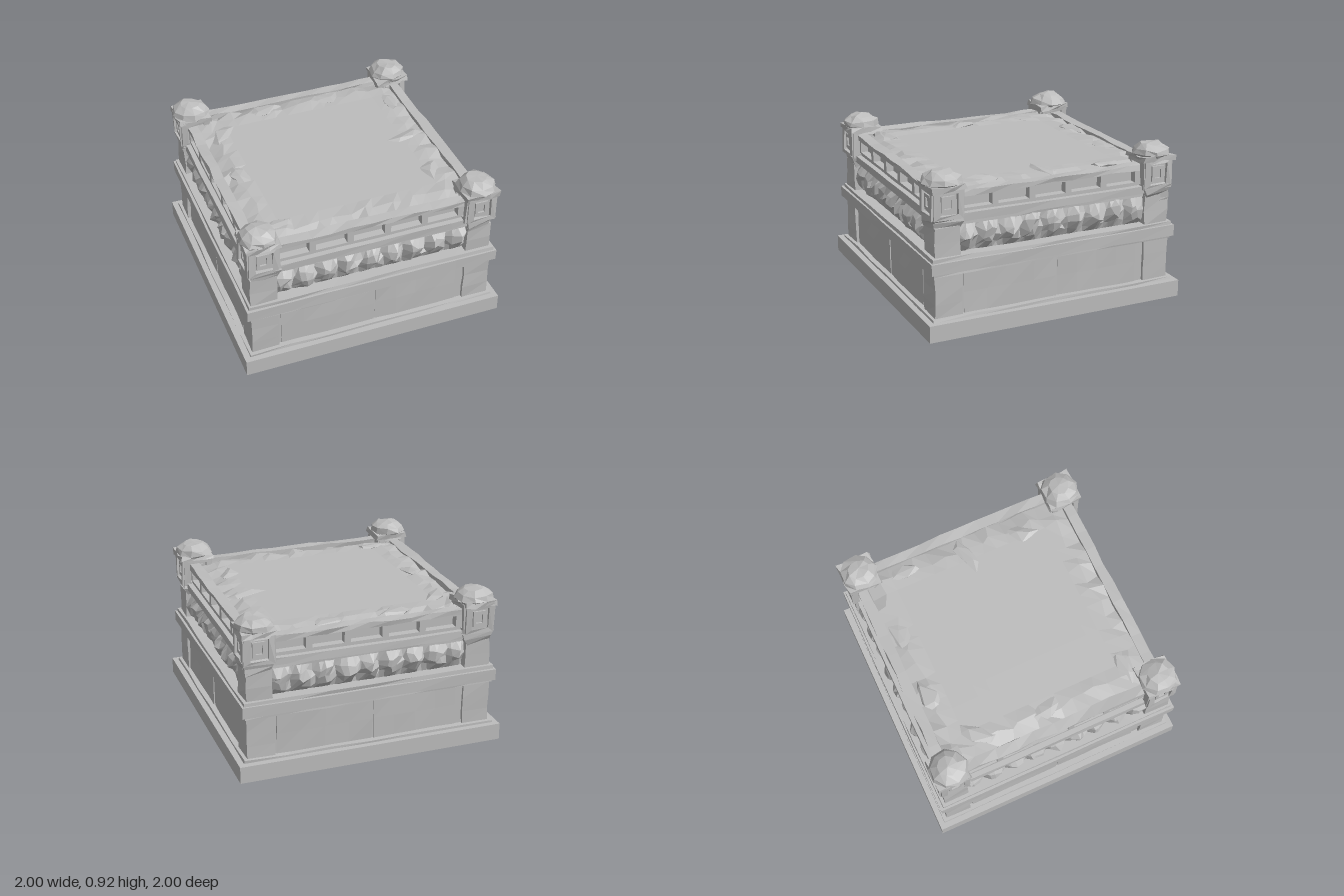
import * as THREE from 'three';

const stone = new THREE.MeshStandardMaterial({ color: 0xbdbdbd, flatShading: true });
stone.name = 'weathered stone';
stone.side = THREE.DoubleSide;

// Repeatable noise from a position, so vertices that touch stay together
function noise(x, y, z, k) {
  const s = Math.sin(Math.round(x * 500) * 12.99 + Math.round(y * 500) * 78.23 + Math.round(z * 500) * 37.72 + k * 9.17) * 437.585;
  return s - Math.floor(s);
}

// Chip a geometry: every vertex moves by up to the given amount
function weather(geo, amount, seed = 1) {
  const p = geo.attributes.position;
  for (let i = 0; i < p.count; i++) {
    const x = p.getX(i), y = p.getY(i), z = p.getZ(i);
    const d = [0, 1, 2].map(k => (noise(x, y, z, k + seed * 3) - 0.5) * 2 * amount);
    p.setXYZ(i, x + d[0], y + d[1], z + d[2]);
  }
  geo.computeVertexNormals();
  return geo;
}

function add(parent, name, geo, x = 0, y = 0, z = 0) {
  const mesh = new THREE.Mesh(geo, stone);
  mesh.name = name;
  mesh.position.set(x, y, z);
  parent.add(mesh);
  return mesh;
}

// Square tier of the plinth between two heights
function tier(parent, name, half, y0, y1, wear = 0, segs = 6) {
  const geo = new THREE.BoxGeometry(half * 2, y1 - y0, half * 2, segs, 1, segs);
  if (wear) weather(geo, wear, half * 10);
  return add(parent, name, geo, 0, (y0 + y1) / 2, 0);
}

function rect(path, x0, y0, x1, y1) {
  path.moveTo(x0, y0);
  path.lineTo(x1, y0);
  path.lineTo(x1, y1);
  path.lineTo(x0, y1);
  path.closePath();
  return path;
}

// Plate with rectangular openings, front face at z = depth
function pierced(outer, holes, depth) {
  const shape = rect(new THREE.Shape(), ...outer);
  holes.forEach(h => shape.holes.push(rect(new THREE.Path(), ...h)));
  return new THREE.ExtrudeGeometry(shape, { depth, bevelEnabled: false });
}

// Row of drooping carved petals, a sheet folded by rule
function petals(seed) {
  const count = 9, length = 1.18, cols = count * 4, rows = 4;
  const geo = new THREE.PlaneGeometry(length, 0.17, cols, rows);
  const p = geo.attributes.position;
  const profile = [0.018, 0.045, 0.05, 0.03, 0.0];
  for (let i = 0; i < p.count; i++) {
    const c = i % (cols + 1), r = Math.floor(i / (cols + 1));
    const across = Math.sin((c % 4) / 4 * Math.PI);
    const n = noise(c, r, 0, seed), m = noise(c, r, 1, seed);
    const inner = r > 0 && r < rows ? 1 : 0;
    p.setX(i, p.getX(i) + (n - 0.5) * 0.025 * inner);
    p.setY(i, p.getY(i) + (m - 0.5) * 0.035 * inner);
    p.setZ(i, profile[r] * (0.3 + 0.9 * across) + (n - 0.5) * 0.026 * inner);
  }
  geo.computeVertexNormals();
  return geo;
}

// Everything that repeats on each of the four sides
function makeSide(index) {
  const side = new THREE.Group();
  side.name = 'side' + (index + 1);
  add(side, 'petalBand', petals(index + 4), 0, 0.535, 0.665);

  // Balustrade with five openings
  const holes = [];
  for (let i = 0; i < 5; i++) {
    const x = -0.55 + i * 0.222;
    holes.push([x, 0.70, x + 0.185, 0.765]);
  }
  const rail = pierced([-0.6, 0.675, 0.6, 0.785], holes, 0.045);
  add(side, 'balustrade', rail, 0, 0, 0.635);
  add(side, 'handrail', weather(new THREE.BoxGeometry(1.2, 0.03, 0.06, 10, 1, 1), 0.006, index), 0, 0.787, 0.66);

  // Panel joint and chipped slab in the lower wall
  add(side, 'wallSlab', weather(new THREE.BoxGeometry(0.56, 0.25, 0.012, 4, 2, 1), 0.003, index), -0.27, 0.232, 0.708);
  add(side, 'wallSlab', weather(new THREE.BoxGeometry(0.5, 0.25, 0.008, 4, 2, 1), 0.003, index + 5), 0.27, 0.232, 0.709);
  return side;
}

// Corner post with framed faces, domed cap and tapering console
function makePost(index) {
  const post = new THREE.Group();
  post.name = 'cornerPost' + (index + 1);
  const core = new THREE.BoxGeometry(0.15, 0.2, 0.15);
  add(post, 'postCore', core, 0, 0.75, 0);
  for (let f = 0; f < 4; f++) {
    const face = new THREE.Group();
    face.name = 'postFace';
    face.rotation.y = f * Math.PI / 2;
    add(face, 'outerFrame', weather(pierced([-0.085, 0.665, 0.085, 0.84], [[-0.052, 0.69, 0.052, 0.81]], 0.023), 0.005, index), 0, 0, 0.072);
    add(face, 'innerFrame', pierced([-0.037, 0.705, 0.037, 0.795], [[-0.02, 0.725, 0.02, 0.775]], 0.012), 0, 0, 0.074);
    post.add(face);
  }
  const collar = new THREE.BoxGeometry(0.2, 0.028, 0.2, 3, 1, 3);
  add(post, 'collar', weather(collar, 0.008, index + 2), 0, 0.838, 0);

  const points = [[0.09, 0.835], [0.112, 0.855], [0.1, 0.885], [0.06, 0.912], [0, 0.922]];
  const dome = new THREE.LatheGeometry(points.map(q => new THREE.Vector2(...q)), 9);
  add(post, 'domeCap', weather(dome, 0.007, index + 1));

  const console_ = new THREE.CylinderGeometry(0.125, 0.085, 0.11, 4, 3);
  console_.rotateY(Math.PI / 4);
  add(post, 'console', weather(console_, 0.012, index + 3), 0, 0.62, 0);
  return post;
}

// Worn floor whose rim crumbles away unevenly
function makeFloor() {
  const n = 16, geo = new THREE.PlaneGeometry(1.27, 1.27, n, n);
  geo.rotateX(-Math.PI / 2);
  const p = geo.attributes.position;
  for (let i = 0; i < p.count; i++) {
    const c = i % (n + 1), r = Math.floor(i / (n + 1));
    const edge = Math.min(c, r, n - c, n - r);
    const a = noise(c, r, 0, 2), b = noise(c, r, 0, 5);
    if (edge === 0) p.setY(i, -0.03 + a * 0.035);
    else if (edge === 1) {
      p.setX(i, p.getX(i) + (a - 0.5) * 0.05);
      p.setZ(i, p.getZ(i) + (b - 0.5) * 0.05);
      p.setY(i, a * 0.014 - 0.004);
    }
  }
  geo.computeVertexNormals();
  return geo;
}

export function createModel() {
  const model = new THREE.Group();
  model.name = 'stoneTerrace';
  const plinth = new THREE.Group();
  plinth.name = 'plinth';
  plinth.rotation.y = THREE.MathUtils.degToRad(20);
  model.add(plinth);

  // Stacked tiers from the ground up
  tier(plinth, 'baseSlab', 0.78, 0, 0.098, 0, 1);
  tier(plinth, 'baseTrim', 0.745, 0.095, 0.112, 0.004);
  tier(plinth, 'lowerWall', 0.708, 0.1, 0.37, 0, 1);
  tier(plinth, 'ledgeMoulding', 0.735, 0.352, 0.372, 0.003);
  tier(plinth, 'ledge', 0.752, 0.37, 0.435, 0.002);
  tier(plinth, 'ledgeTop', 0.738, 0.43, 0.455, 0.004);
  tier(plinth, 'bandCore', 0.662, 0.44, 0.63, 0, 1);
  tier(plinth, 'corniceLower', 0.69, 0.615, 0.64, 0.003);
  tier(plinth, 'cornice', 0.71, 0.637, 0.682, 0.003);
  tier(plinth, 'terraceCore', 0.635, 0.67, 0.765, 0, 1);
  add(plinth, 'terraceFloor', makeFloor(), 0, 0.797, 0);

  for (let i = 0; i < 4; i++) {
    const side = makeSide(i);
    side.rotation.y = i * Math.PI / 2;
    plinth.add(side);

    const sx = i % 2 ? 1 : -1, sz = i < 2 ? 1 : -1;
    const post = makePost(i);
    post.position.set(sx * 0.643, 0, sz * 0.643);
    plinth.add(post);
    // Pilasters on the wall and on the petal band
    add(plinth, 'wallPilaster', weather(new THREE.BoxGeometry(0.16, 0.26, 0.16, 1, 3, 1), 0.004, i), sx * 0.646, 0.23, sz * 0.646);
    add(plinth, 'bandPilaster', weather(new THREE.BoxGeometry(0.15, 0.18, 0.15, 1, 2, 1), 0.005, i), sx * 0.645, 0.53, sz * 0.645);
  }

  // Broken stone flakes lying along the rim: x, z, size, turn
  const flakes = [[0.5, -0.02, 0.12, 0.4], [0.5, 0.34, 0.11, 1.2], [-0.55, 0, 0.11, 2], [-0.5, -0.42, 0.12, 0.8],
    [-0.5, 0.52, 0.13, 0.2], [0.56, -0.4, 0.1, 1.5], [0.2, -0.57, 0.12, 0.1], [-0.2, -0.57, 0.11, 0.3]];
  flakes.forEach(([x, z, size, turn], i) => {
    const geo = weather(new THREE.IcosahedronGeometry(1, 0), 0.3, i);
    const flake = add(plinth, 'rimFlake', geo, x, 0.792, z);
    flake.scale.set(size, 0.018, size * 0.45);
    flake.rotation.y = turn;
  });
  return model;
}
